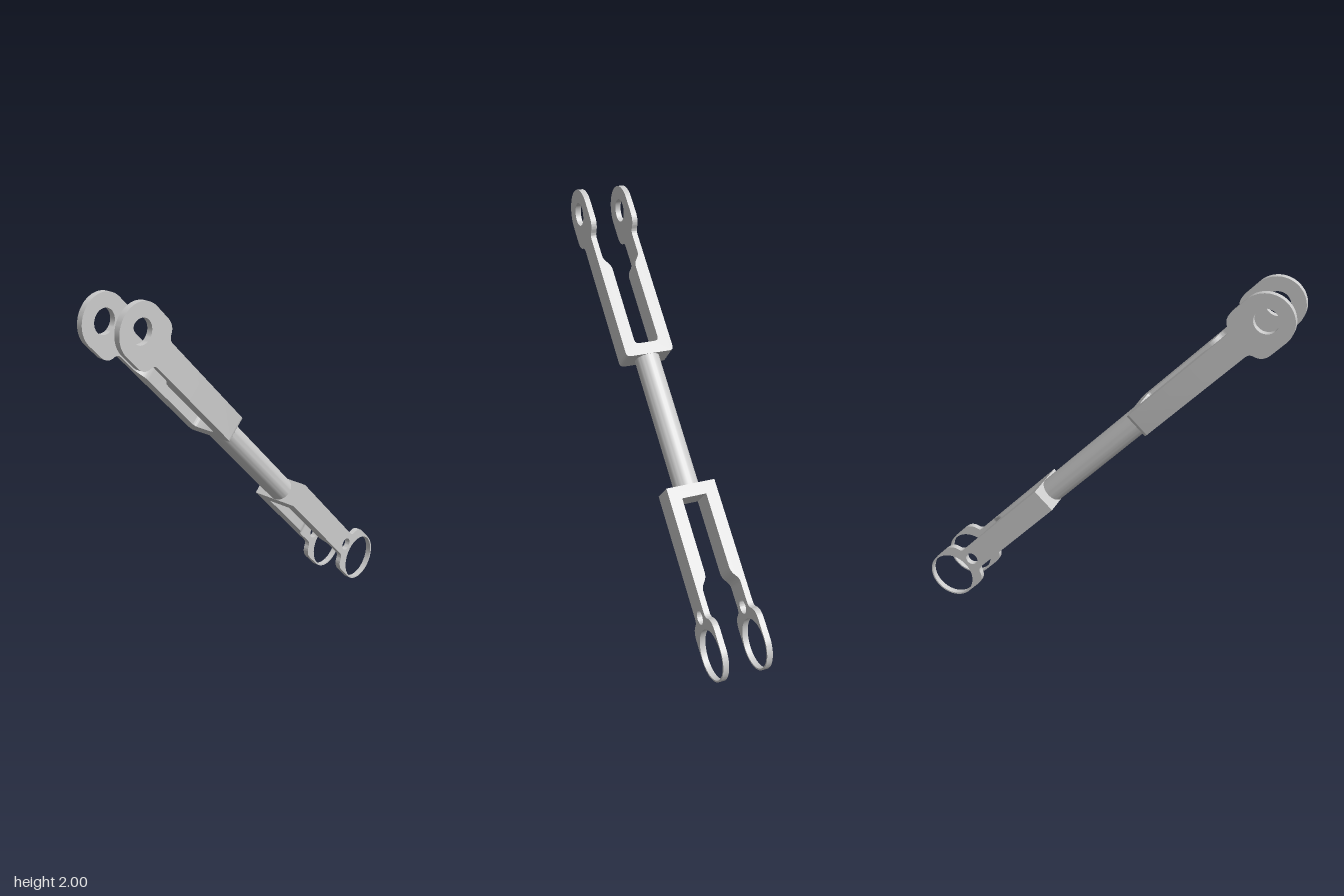
import * as THREE from 'three';
import { toCreasedNormals } from 'three/addons/utils/BufferGeometryUtils.js';

const OUTER = 0.13;   // half width of the forks and radius of the eyes
const INNER = 0.065;  // half width of the slot and half depth of the arms
const THIN = 0.1;     // inner face of the thin eye plates
const EYE = 1.2;      // distance of the eye centres from the middle
const NECK = 0.91;    // where a full arm becomes a thin plate

const material = new THREE.MeshStandardMaterial({ color: 0xcccccc });

function addMesh(parent, geometry, name) {
  const mesh = new THREE.Mesh(toCreasedNormals(geometry, 0.6), material);
  mesh.name = name;
  parent.add(mesh);
  return mesh;
}

function extrude(shape, depth) {
  return new THREE.ExtrudeGeometry(shape, { depth, bevelEnabled: false, curveSegments: 20 });
}

// U-shaped yoke whose arms step down to the thin plates
function yokeGeometry(base, round) {
  const floor = base + 0.064;
  const s = new THREE.Shape();
  s.moveTo(-OUTER + round, base);
  s.lineTo(OUTER - round, base);
  if (round) s.quadraticCurveTo(OUTER, base, OUTER, base + round);
  s.lineTo(OUTER, NECK);
  s.lineTo(THIN, NECK);
  s.bezierCurveTo(THIN, 0.87, INNER, 0.87, INNER, 0.82);
  s.lineTo(INNER, floor + round);
  if (round) s.quadraticCurveTo(INNER, floor, INNER - round, floor);
  s.lineTo(-INNER + round, floor);
  if (round) s.quadraticCurveTo(-INNER, floor, -INNER, floor + round);
  s.lineTo(-INNER, 0.82);
  s.bezierCurveTo(-INNER, 0.87, -THIN, 0.87, -THIN, NECK);
  s.lineTo(-OUTER, NECK);
  s.lineTo(-OUTER, base + round);
  if (round) s.quadraticCurveTo(-OUTER, base, -OUTER + round, base);
  return extrude(s, 2 * INNER).translate(0, 0, -INNER);
}

// Thin plate with rounded shoulders and an eye; holes are [position, radius]
function plateGeometry(holes) {
  const s = new THREE.Shape();
  s.moveTo(-INNER, NECK);
  s.lineTo(INNER, NECK);
  s.lineTo(INNER, 1.005);
  s.bezierCurveTo(INNER, 1.03, 0.074, 1.036, 0.09, 1.043);
  s.bezierCurveTo(0.115, 1.053, OUTER, 1.075, OUTER, 1.11);
  s.lineTo(OUTER, EYE);
  s.absarc(0, EYE, OUTER, 0, Math.PI, false);
  s.lineTo(-OUTER, 1.11);
  s.bezierCurveTo(-OUTER, 1.075, -0.115, 1.053, -0.09, 1.043);
  s.bezierCurveTo(-0.074, 1.036, -INNER, 1.03, -INNER, 1.005);
  for (const [y, r] of holes) {
    s.holes.push(new THREE.Path().absarc(0, y, r, 0, Math.PI * 2, true));
  }
  return extrude(s, OUTER - THIN).rotateY(Math.PI / 2);
}

function makeFork(name, base, round, holes) {
  const fork = new THREE.Group();
  fork.name = name;
  addMesh(fork, yokeGeometry(base, round), name + 'Yoke');
  addMesh(fork, plateGeometry(holes), name + 'LeftEye').position.x = THIN;
  addMesh(fork, plateGeometry(holes), name + 'RightEye').position.x = -OUTER;
  return fork;
}

export function createModel() {
  const model = new THREE.Group();
  model.name = 'forkedLink';

  // The link is built upright, then leaned forward
  const link = new THREE.Group();
  link.name = 'link';
  link.position.y = 1;
  link.rotation.x = 0.76;
  model.add(link);

  link.add(makeFork('upperFork', 0.33, 0.024, [[EYE, 0.06]]));

  // Lower fork points the other way, with thin rings and small pin holes
  const lower = makeFork('lowerFork', 0.382, 0, [[EYE, 0.122], [1.018, 0.034]]);
  lower.rotation.z = Math.PI;
  link.add(lower);

  // Round rod joining the forks
  const rod = new THREE.CylinderGeometry(0.064, 0.064, 0.732, 48).translate(0, -0.026, 0);
  addMesh(link, rod, 'rod');

  return model;
}
